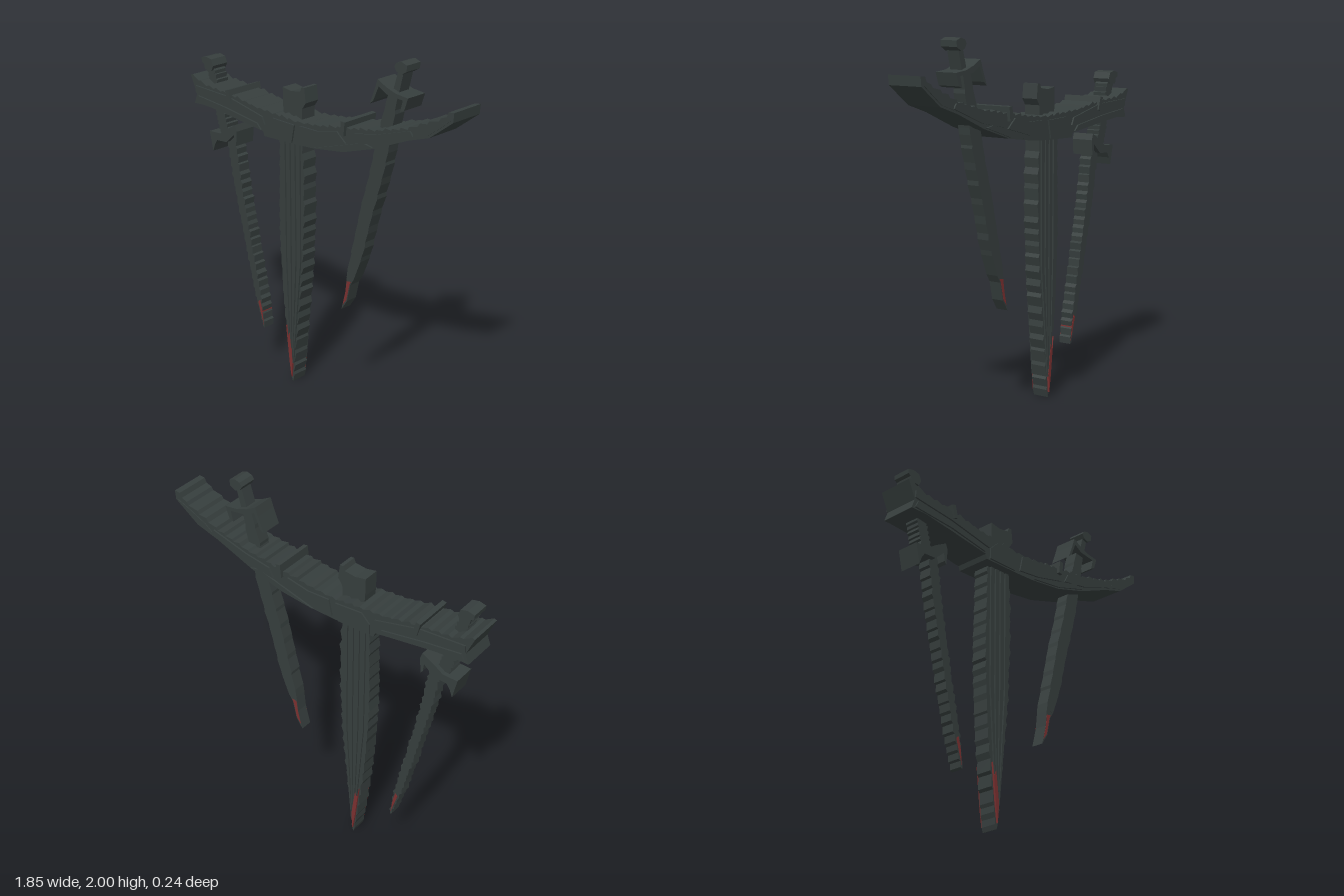
import * as THREE from 'three';

const iron = new THREE.MeshStandardMaterial({ color: 0x363e3d });
iron.name = 'darkIron';
const blood = new THREE.MeshStandardMaterial({ color: 0x7a3030 });
blood.name = 'dullRed';

// Small repeatable noise for chipped edges
let seed = 7;
const rand = () => (seed = (seed * 16807) % 2147483647) / 2147483647;

// Turns a polyline (travelled anticlockwise) into a saw-toothed edge
function jag(points, step, depth) {
  const out = [];
  for (let i = 0; i < points.length - 1; i++) {
    const [ax, ay] = points[i], [bx, by] = points[i + 1];
    const len = Math.hypot(bx - ax, by - ay);
    const nx = (by - ay) / len, ny = -(bx - ax) / len;
    const n = Math.max(1, Math.round(len / step));
    for (let k = 0; k < n; k++) {
      const t = k / n, u = (k + 0.55 + 0.3 * rand()) / n;
      const d = depth * (0.4 + 0.6 * rand());
      out.push([ax + (bx - ax) * t, ay + (by - ay) * t]);
      out.push([ax + (bx - ax) * u + nx * d, ay + (by - ay) * u + ny * d]);
    }
  }
  out.push(points[points.length - 1]);
  return out;
}

// Flat outline extruded evenly to both sides of z = 0
function slab(parent, name, points, half, material = iron) {
  const shape = new THREE.Shape(points.map(([x, y]) => new THREE.Vector2(x, y)));
  const geo = new THREE.ExtrudeGeometry(shape, { depth: half * 2, bevelEnabled: false });
  geo.translate(0, 0, -half);
  const mesh = new THREE.Mesh(geo, material);
  mesh.name = name;
  parent.add(mesh);
  return mesh;
}

function group(parent, name) {
  const g = new THREE.Group();
  g.name = name;
  parent.add(g);
  return g;
}

// Curved crossbeam with chipped top, raised plates and two straps
function buildBeam(root) {
  const g = group(root, 'crossbeam');
  const bottom = [[-0.9, 1.5], [-0.8, 1.505], [-0.63, 1.488], [-0.36, 1.458], [-0.35, 1.432],
    [-0.12, 1.44], [0.01, 1.448], [0.22, 1.478], [0.43, 1.545], [0.64, 1.635],
    [0.775, 1.68], [0.915, 1.785]];
  const top = [[0.92, 1.835], [0.83, 1.775], [0.76, 1.745], [0.64, 1.69], [0.43, 1.635],
    [0.22, 1.6], [0.01, 1.57], [-0.12, 1.56], [-0.4, 1.575], [-0.63, 1.605],
    [-0.8, 1.615], [-0.925, 1.655]];
  slab(g, 'beamCore', [...bottom, ...jag(top, 0.055, 0.016), [-0.88, 1.555]], 0.1);

  const plates = [
    [[-0.88, 1.565], [-0.62, 1.545], [-0.34, 1.5], [-0.36, 1.54], [-0.62, 1.595], [-0.88, 1.605]],
    [[-0.88, 1.51], [-0.62, 1.5], [-0.37, 1.465], [-0.4, 1.495], [-0.65, 1.53], [-0.86, 1.55]],
    [[-0.33, 1.44], [-0.14, 1.445], [-0.12, 1.545], [-0.28, 1.55], [-0.33, 1.5]],
    [[-0.1, 1.46], [0.05, 1.48], [0.24, 1.53], [0.18, 1.58], [0.05, 1.55], [-0.08, 1.55]],
    [[0.02, 1.455], [0.22, 1.485], [0.42, 1.55], [0.36, 1.56], [0.2, 1.51]],
    [[0.27, 1.54], [0.45, 1.575], [0.68, 1.665], [0.66, 1.69], [0.45, 1.625], [0.3, 1.595]],
  ];
  plates.forEach((p, i) => slab(g, 'beamPlate' + i, p, 0.109));
  slab(g, 'beamTipPlate', [[0.65, 1.65], [0.77, 1.69], [0.9, 1.79], [0.82, 1.755], [0.72, 1.705]], 0.104);

  for (const [x, y, a] of [[-0.61, 1.597, 0.25], [0.228, 1.607, -0.1]]) {
    const strap = new THREE.Mesh(new THREE.BoxGeometry(0.026, 0.075, 0.236), iron);
    strap.position.set(x, y, 0);
    strap.rotation.z = a;
    strap.name = 'strap';
    g.add(strap);
  }
}

// Broad central sword driven through the beam
function buildCentralSword(root) {
  const g = group(root, 'centralSword');
  const left = [[-0.285, 1.46], [-0.288, 1.25], [-0.294, 1.02], [-0.287, 0.75], [-0.272, 0.52],
    [-0.243, 0.28], [-0.225, 0.12], [-0.208, 0]];
  const right = [[-0.206, 0], [-0.194, 0.12], [-0.18, 0.28], [-0.153, 0.52], [-0.13, 0.75],
    [-0.117, 1.02], [-0.116, 1.2], [-0.127, 1.46]];
  slab(g, 'broadBlade', [...jag(left, 0.075, 0.011), ...jag(right, 0.075, 0.014)], 0.046);

  // Long ribs converging on the tip
  for (let i = 0; i < 4; i++) {
    const x = -0.27 + i * 0.037, m = -0.267 + i * 0.036, t = -0.221 + i * 0.007;
    slab(g, 'bladeRib' + i, [[x, 1.46], [m, 0.75], [t, 0.12], [t + 0.005, 0.12],
      [m + 0.024, 0.75], [x + 0.025, 1.46]], 0.055);
  }
  slab(g, 'redStreak', [[-0.247, 0.34], [-0.222, 0.12], [-0.208, 0.03], [-0.2, 0.13],
    [-0.208, 0.2], [-0.222, 0.3], [-0.236, 0.27]], 0.0565, blood);
  slab(g, 'broadGrip', [[-0.25, 1.5], [-0.125, 1.5], [-0.12, 1.62], [-0.095, 1.655], [-0.105, 1.735],
    [-0.125, 1.735], [-0.135, 1.71], [-0.2, 1.7], [-0.262, 1.71], [-0.26, 1.61]], 0.047);
}

// Serrated sword hanging at the -x end, guard below the beam
function buildSerratedSword(root) {
  const g = group(root, 'serratedSword');
  const left = [[-0.705, 1.32], [-0.668, 1.1], [-0.592, 0.785], [-0.527, 0.52], [-0.485, 0.37], [-0.443, 0.25]];
  const right = [[-0.443, 0.25], [-0.472, 0.44], [-0.527, 0.68], [-0.605, 1.05], [-0.655, 1.34]];
  slab(g, 'serratedBlade', [...jag(left, 0.05, 0.012), ...jag(right, 0.05, 0.014)], 0.036);
  slab(g, 'redTip', [[-0.488, 0.4], [-0.447, 0.27], [-0.458, 0.36], [-0.474, 0.415]], 0.0375, blood);
  slab(g, 'guard', [[-0.825, 1.345], [-0.8, 1.235], [-0.785, 1.275], [-0.765, 1.305], [-0.69, 1.31],
    [-0.63, 1.365], [-0.625, 1.32], [-0.613, 1.305], [-0.605, 1.39], [-0.618, 1.425],
    [-0.69, 1.385], [-0.74, 1.35]], 0.064);
  slab(g, 'ridgedGrip', [...jag([[-0.86, 1.72], [-0.81, 1.53], [-0.755, 1.34]], 0.026, 0.012),
    ...jag([[-0.7, 1.36], [-0.755, 1.54], [-0.805, 1.7]], 0.026, 0.012)], 0.04);
  slab(g, 'pommel', [[-0.862, 1.69], [-0.81, 1.69], [-0.795, 1.72], [-0.81, 1.755], [-0.85, 1.762],
    [-0.888, 1.752], [-0.885, 1.728], [-0.868, 1.72]], 0.052);
}

// Slim sword at the +x side, guard above the beam
function buildSlimSword(root) {
  const g = group(root, 'slimSword');
  const left = [[0.465, 1.84], [0.385, 1.55], [0.342, 1.37], [0.287, 1.18], [0.222, 0.9], [0.19, 0.76]];
  const right = [[0.24, 0.76], [0.292, 0.9], [0.368, 1.18], [0.425, 1.37], [0.468, 1.55], [0.52, 1.84]];
  slab(g, 'slimBlade', [...jag(left, 0.11, 0.006), ...jag(right, 0.11, 0.007)], 0.036);
  slab(g, 'bladeTip', [[0.19, 0.76], [0.18, 0.67], [0.152, 0.56], [0.192, 0.62], [0.215, 0.72], [0.24, 0.76]], 0.035);
  slab(g, 'redTip', [[0.19, 0.735], [0.181, 0.67], [0.162, 0.59], [0.188, 0.625], [0.21, 0.72], [0.22, 0.74]], 0.0365, blood);
  slab(g, 'guard', [[0.362, 1.755], [0.385, 1.775], [0.42, 1.855], [0.47, 1.825], [0.575, 1.815],
    [0.56, 1.755], [0.585, 1.765], [0.608, 1.832], [0.53, 1.84], [0.47, 1.86], [0.412, 1.89], [0.395, 1.84]], 0.064);
  slab(g, 'grip', [[0.485, 1.83], [0.525, 1.83], [0.555, 1.95], [0.525, 1.965]], 0.036);
  slab(g, 'pommel', [[0.52, 1.945], [0.55, 1.935], [0.583, 1.955], [0.585, 1.987], [0.55, 2],
    [0.52, 1.99], [0.505, 1.97]], 0.05);
}

export function createModel() {
  seed = 7;
  const root = new THREE.Group();
  root.name = 'hangingSwords';
  buildBeam(root);
  buildCentralSword(root);
  buildSerratedSword(root);
  buildSlimSword(root);
  return root;
}
